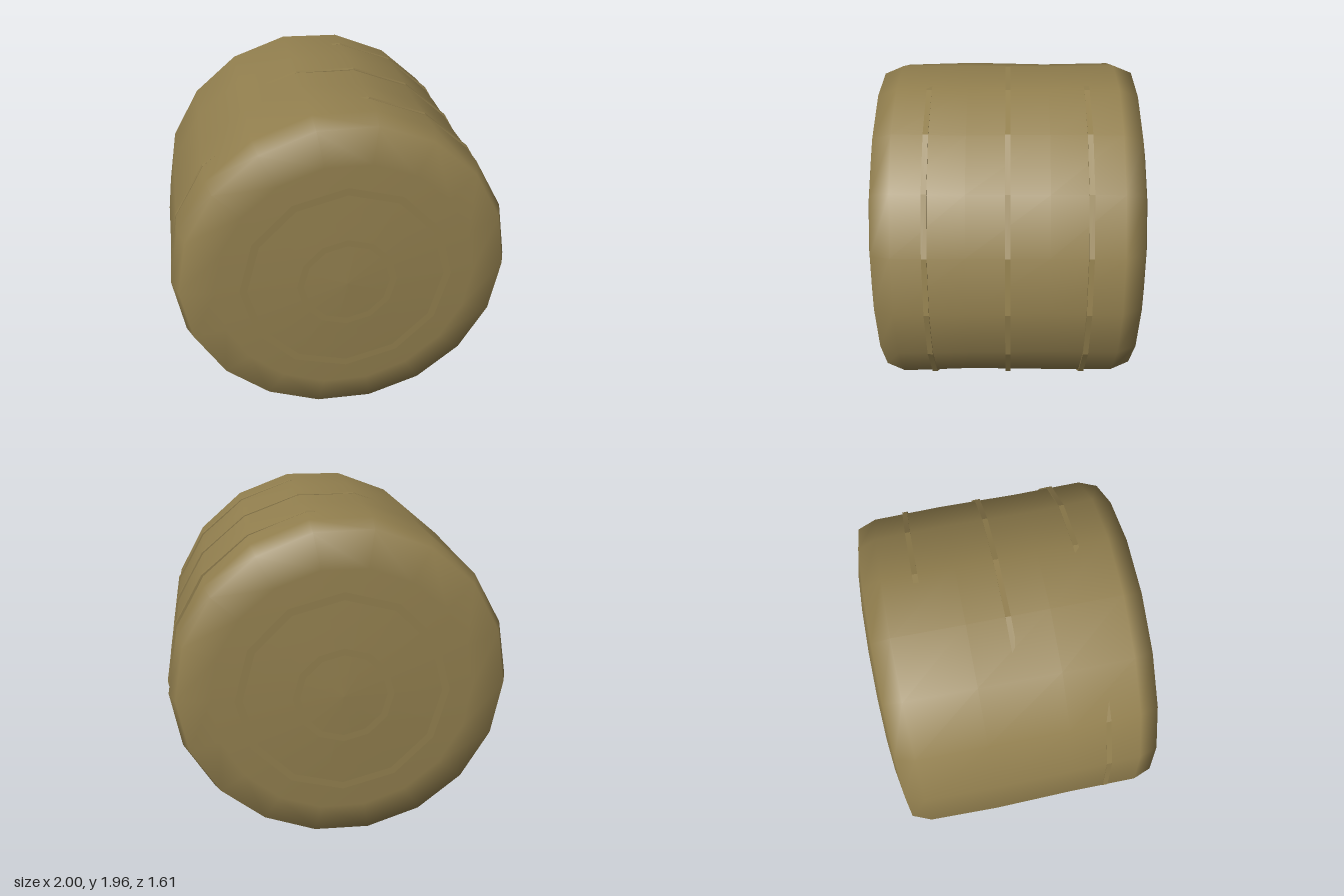
import * as THREE from 'three';

const straw = new THREE.MeshStandardMaterial({ color: 0x93804f });
straw.name = 'straw';

// Lathe around the z axis, 18 sides, with a corner on the x axis
function latheZ(profile) {
  const points = profile.map(([r, z]) => new THREE.Vector2(r, z));
  return new THREE.LatheGeometry(points, 18, Math.PI / 18).rotateX(Math.PI / 2);
}

export function createModel() {
  const model = new THREE.Group();
  model.name = 'roundBale';

  const add = (name, geometry) => {
    const mesh = new THREE.Mesh(geometry, straw);
    mesh.name = name;
    model.add(mesh);
    return mesh;
  };

  // Bale body: domed ends, rounded shoulders, slightly uneven side
  const half = [[0, 0.805], [0.75, 0.783], [0.945, 0.745], [0.988, 0.635], [0.988, 0.23]];
  const profile = [...half.map(([r, z]) => [r, -z]), ...half.slice().reverse()];
  const body = latheZ(profile);
  const p = body.attributes.position;
  for (let i = 0; i < p.count; i++) {
    const x = p.getX(i), y = p.getY(i), z = p.getZ(i);
    const r = Math.hypot(x, y);
    if (r < 0.9) continue;
    const a = Math.atan2(y, x);
    const s = 1 - 0.009 * Math.cos(a) + 0.005 * Math.sin(a)
      + 0.005 * Math.sin(3 * a + 6 * z) + (z > 0.5 ? 0.008 * Math.cos(a) : 0);
    p.setXY(i, x * s, y * s);
  }
  add('baleBody', body);

  // Three twine bands, partly sunk into the straw
  for (const z of [-0.45, 0, 0.45]) {
    const band = latheZ([[0.96, -0.015], [0.994, -0.015], [0.994, 0.015], [0.96, 0.015]]).toNonIndexed();
    band.computeVertexNormals();
    add('twineBand', band).position.z = z;
  }

  // Thin spiral-like rings on both ends
  for (const side of [1, -1]) {
    for (const [inner, outer, z] of [[0.25, 0.29, 0.8], [0.57, 0.615, 0.792]]) {
      const ring = add('endRing', new THREE.RingGeometry(inner, outer, 12));
      ring.position.z = side * z;
      if (side < 0) ring.rotation.y = Math.PI;
    }
  }

  // Rest the bale on the ground
  model.children.forEach((part) => { part.position.y = 1; });
  return model;
}
